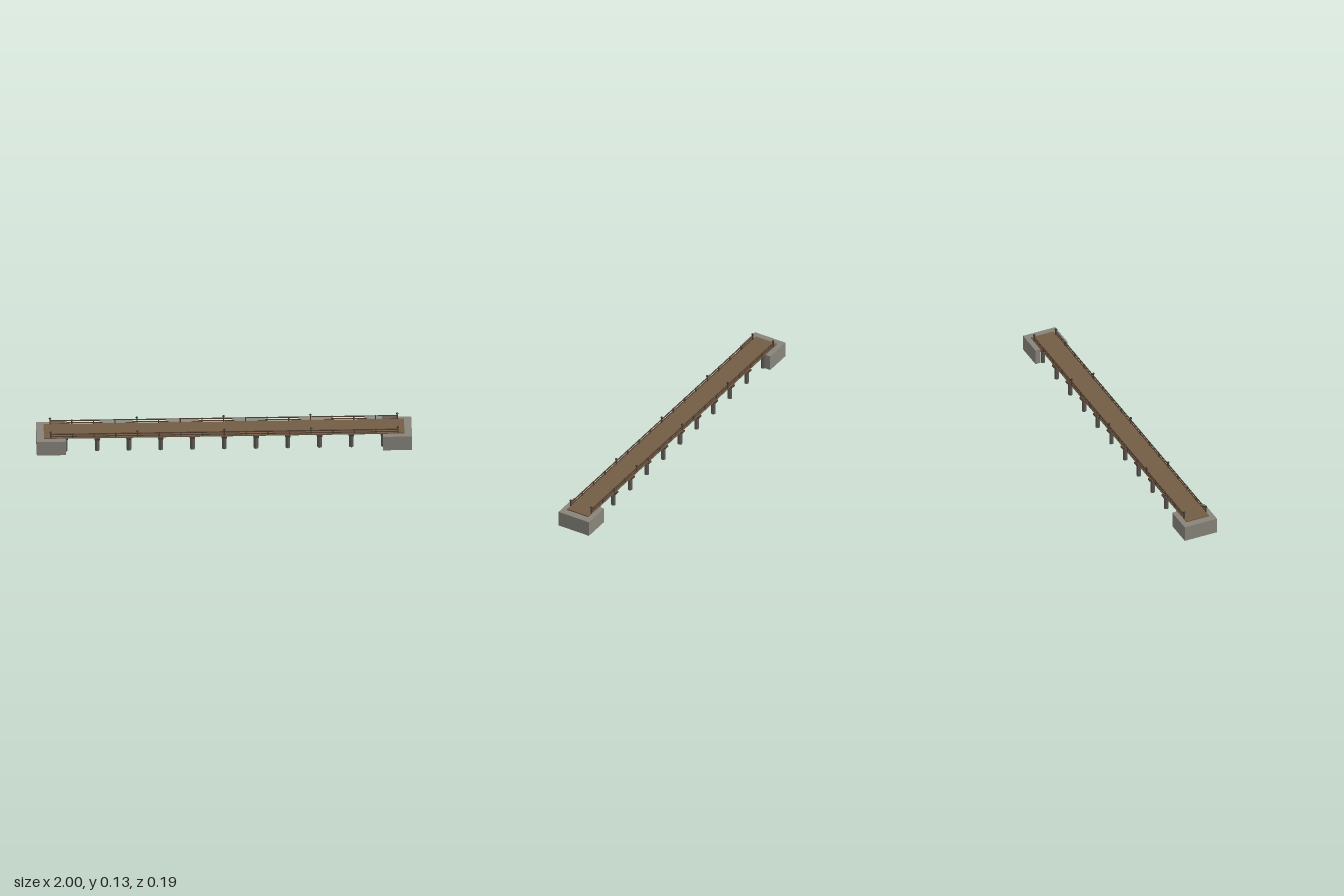
import * as THREE from 'three';

const mat = (color) => new THREE.MeshStandardMaterial({ color, flatShading: true });

export function createModel() {
  const root = new THREE.Group();
  root.name = 'footbridge';
  const stone = mat(0x88847a), plank = mat(0x735c45), timber = mat(0x4f3d30);
  const pileMat = mat(0x5c5955), iron = mat(0x2b3030);

  const add = (name, geometry, material, x, y, z) => {
    const mesh = new THREE.Mesh(geometry, material);
    mesh.name = name;
    mesh.position.set(x, y, z);
    root.add(mesh);
    return mesh;
  };
  const box = (name, w, h, d, material, x, y, z) =>
    add(name, new THREE.BoxGeometry(w, h, d), material, x, y, z);

  // U-shaped abutments, open towards the span
  const plan = new THREE.Shape([
    [1, -0.095], [1, 0.095], [0.845, 0.095], [0.845, 0.065],
    [0.935, 0.065], [0.935, -0.065], [0.845, -0.065], [0.845, -0.095],
  ].map(([x, z]) => new THREE.Vector2(x, z)));
  const abutment = new THREE.ExtrudeGeometry(plan, { depth: 0.087, bevelEnabled: false });
  abutment.rotateX(-Math.PI / 2);
  for (const side of [0, 1]) {
    add('abutment', abutment, stone, 0, 0, 0).rotation.y = side * Math.PI;
  }

  // Deck
  box('deck', 1.92, 0.007, 0.132, plank, 0, 0.0895, 0);

  // Pile bents: two piles under a cross beam
  const pile = new THREE.CylinderGeometry(0.0125, 0.0125, 0.078, 8);
  for (let i = -5; i <= 5; i++) {
    const x = i * 0.1693;
    box('crossBeam', 0.028, 0.009, Math.abs(i) === 5 ? 0.128 : 0.144, timber, x, 0.0815, 0);
    for (const s of [-1, 1]) add('pile', pile, pileMat, x, 0.039, s * 0.05);
  }

  // Railings: posts with a taller capped one at every fourth place
  const cap = new THREE.CylinderGeometry(0.004, 0.0075, 0.005, 8);
  const capBase = new THREE.CylinderGeometry(0.0075, 0.004, 0.004, 8);
  for (const s of [-1, 1]) {
    const z = s * 0.064;
    for (let i = 0; i <= 16; i++) {
      const x = -0.925 + i * 0.1156;
      const tall = i % 4 === 0;
      const top = tall ? 0.125 : 0.118;
      box('railPost', 0.006, top - 0.092, 0.006, timber, x, (top + 0.092) / 2, z);
      if (tall) {
        add('postCapBase', capBase, iron, x, 0.125, z);
        add('postCap', cap, iron, x, 0.1295, z);
      }
    }
    box('topRail', 1.85, 0.005, 0.005, timber, 0, 0.114, z);
    box('lowerRail', 1.85, 0.004, 0.004, timber, 0, 0.1, z);
  }
  return root;
}
